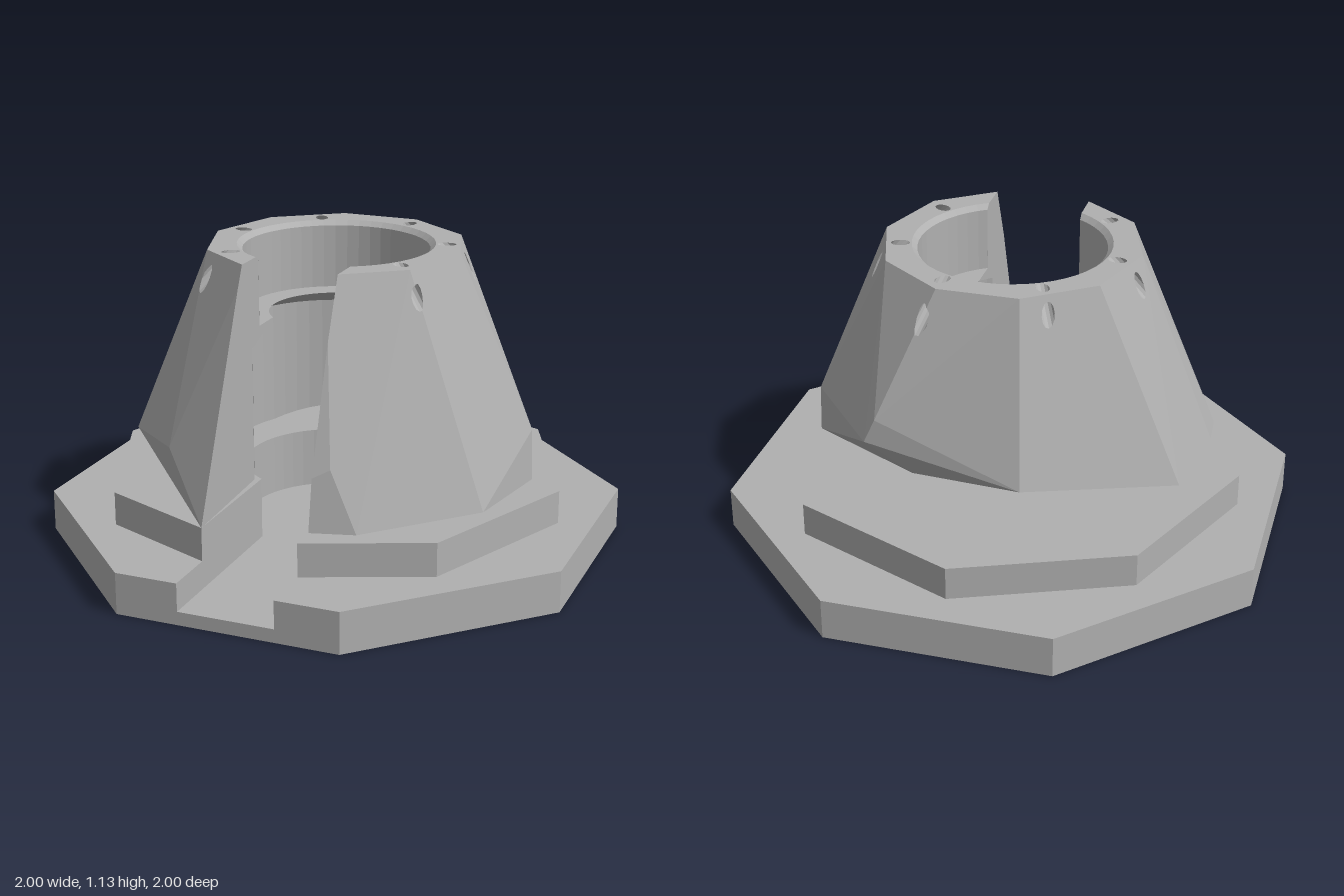
import * as THREE from 'three';
import { ConvexGeometry } from 'three/addons/geometries/ConvexGeometry.js';

const V = (x, y, z) => new THREE.Vector3(x, y, z);
const E = 1e-6, SLOT = 0.18, TOP = 1.13, SIDES = 48;

// ---- small convex polygon clipping helpers (plane normals point outward) ----
function split(poly, plane) {
  const inn = [], out = [];
  let beyond = false;
  poly.forEach((p, i) => {
    const q = poly[(i + 1) % poly.length];
    const a = plane.distanceToPoint(p), b = plane.distanceToPoint(q);
    if (a <= E) inn.push(p);
    if (a >= -E) out.push(p);
    if (a > E) beyond = true;
    if ((a > E && b < -E) || (a < -E && b > E)) {
      const m = p.clone().lerp(q, a / (a - b));
      inn.push(m);
      out.push(m);
    }
  });
  return [inn, beyond && out.length > 2 ? out : null];
}

function keepInside(polys, planes) {
  return polys.map((poly) => {
    for (const pl of planes) {
      poly = split(poly, pl)[0];
      if (poly.length < 3) break;
    }
    return poly;
  }).filter((p) => p.length > 2);
}

function subtract(polys, planes) {
  return polys.flatMap((poly) => {
    const pieces = [];
    let rest = poly;
    for (const pl of planes) {
      const [inn, out] = split(rest, pl);
      if (out) pieces.push(out);
      rest = inn;
      if (rest.length < 3) return [poly];
    }
    return pieces;
  });
}

function toGeometry(polys) {
  const pts = [];
  for (const p of polys) for (let i = 1; i < p.length - 1; i++) pts.push(p[0], p[i], p[i + 1]);
  const g = new THREE.BufferGeometry().setFromPoints(pts);
  g.computeVertexNormals();
  return g;
}

// Many-sided prism about an axis: cutting planes plus inward-facing wall polygons
function prism(origin, dir, r, n, from, to) {
  const u = Math.abs(dir.y) > 0.99 ? V(1, 0, 0) : V(0, 1, 0).cross(dir).normalize();
  const w = u.clone().cross(dir).normalize();
  const radial = (a) => u.clone().multiplyScalar(Math.cos(a)).addScaledVector(w, Math.sin(a));
  const at = (k, t) => origin.clone().addScaledVector(dir, t).addScaledVector(radial(2 * Math.PI * k / n), r);
  const planes = [], walls = [];
  for (let k = 0; k < n; k++) {
    planes.push(new THREE.Plane().setFromNormalAndCoplanarPoint(radial(2 * Math.PI * (k + 0.5) / n), at(k, 0)));
    walls.push([at(k, from), at(k + 1, from), at(k + 1, to), at(k, to)]);
  }
  for (const [t, s] of [[from, -1], [to, 1]]) {
    planes.push(new THREE.Plane().setFromNormalAndCoplanarPoint(
      dir.clone().multiplyScalar(s), origin.clone().addScaledVector(dir, t)));
  }
  return { planes, walls };
}

// ---- octagonal layers ----
function octagon(radius, start) {
  return Array.from({ length: 8 }, (_, i) => {
    const a = start + i * Math.PI / 4;
    return new THREE.Vector2(radius * Math.cos(a), radius * Math.sin(a));
  });
}

// Octagon with a slot from the front edge into a round central well
function notched(corners, frontZ, well) {
  const pts = [new THREE.Vector2(-SLOT, frontZ), ...corners, new THREE.Vector2(SLOT, frontZ)];
  const a = Math.acos(SLOT / well);
  for (let i = 0; i <= 40; i++) {
    const t = a - (Math.PI + 2 * a) * i / 40;
    pts.push(new THREE.Vector2(well * Math.cos(t), well * Math.sin(t)));
  }
  return new THREE.Shape(pts);
}

function layer(shape, bottom, top) {
  return new THREE.ExtrudeGeometry(shape, { depth: top - bottom, bevelEnabled: false, curveSegments: 24 })
    .rotateX(Math.PI / 2).translate(0, top, 0);
}

export function createModel() {
  const group = new THREE.Group();
  const grey = new THREE.MeshStandardMaterial({ color: 0xb0b0b0, side: THREE.DoubleSide });
  grey.name = 'grey';
  const add = (name, geometry) => {
    const mesh = new THREE.Mesh(geometry, grey);
    mesh.name = name;
    group.add(mesh);
  };

  // Base slab with four blind holes underneath
  const baseR = 1 / Math.cos(Math.PI / 8);
  const slab = new THREE.Shape(octagon(baseR, Math.PI * 5 / 8));
  for (const x of [-0.53, 0.53]) for (const z of [-0.53, 0.53]) {
    slab.holes.push(new THREE.Path().absarc(x, z, 0.1, 0, Math.PI * 2, true));
  }
  add('baseSlab', layer(slab, 0, 0.05));

  // Slotted base and the smaller step above it
  add('slottedBase', layer(notched(octagon(baseR, Math.PI * 5 / 8), 1, 0.345), 0.05, 0.155));
  add('upperStep', layer(notched(octagon(0.875, Math.PI * 3 / 4).slice(0, 7), 0.80, 0.345), 0.155, 0.28));

  // Faceted rock-like tower: ten-sided top, irregular foot
  const points = [
    [0.34, 0.28, 0.66], [0.68, 0.28, 0.3], [0.75, 0.28, -0.08], [0.74, 0.47, -0.09],
    [0.38, 0.57, -0.6], [0.34, 0.66, -0.595], [-0.2, 0.48, -0.64], [0.25, 0.38, -0.46],
    [-0.69, 0.35, -0.24], [-0.75, 0.38, 0.07], [-0.74, 0.38, 0.2], [-0.41, 0.47, 0.58],
    [-0.18, 0.28, 0.8], [0.24, 0.5, 0.65],
  ].map((p) => V(...p));
  for (let i = 0; i < 10; i++) {
    const a = i * Math.PI / 5;
    points.push(V(0.48 * Math.cos(a), TOP, 0.48 * Math.sin(a)));
  }
  const pos = new ConvexGeometry(points).getAttribute('position');
  let shell = [];
  for (let i = 0; i < pos.count; i += 3) {
    shell.push([0, 1, 2].map((k) => new THREE.Vector3().fromBufferAttribute(pos, i + k)));
  }
  const hull = shell.map((t) => new THREE.Plane().setFromCoplanarPoints(...t));
  const slot = [
    new THREE.Plane(V(1, 0, 0), -SLOT), new THREE.Plane(V(-1, 0, 0), -SLOT), new THREE.Plane(V(0, 0, -1), 0),
  ];
  const up = V(0, 1, 0), zero = V(0, 0, 0);
  shell = subtract(shell, slot);
  shell = subtract(shell, prism(zero, up, 0.365, SIDES, 1.1, 1.3).planes);
  shell = subtract(shell, prism(zero, up, 0.4, SIDES, 0, 0.8).planes);

  // Slanted screw holes from the top rim out through the side
  let holes = [];
  for (let i = 0; i < 7; i++) {
    if (i === 5) continue; // falls in the slot
    const a = -Math.PI * 120 / 126 + i * Math.PI * 2 / 7;
    const c = Math.cos(a), s = Math.sin(a);
    const hole = prism(V(0.405 * c, TOP, 0.405 * s), V(c, -0.95, s).normalize(), 0.024, 12, -0.06, 0.25);
    shell = subtract(shell, hole.planes);
    holes = holes.concat(keepInside(hole.walls, hull));
  }
  add('towerShell', toGeometry(shell));
  add('screwHoles', toGeometry(holes));

  // Bore: chamfer, cup, ledge, undercut and lower chamber
  const profile = [[0.365, TOP], [0.345, 1.112], [0.345, 0.87], [0.25, 0.87], [0.4, 0.8], [0.4, 0.2]];
  const bore = [], walls = [];
  for (let j = 0; j < profile.length - 1; j++) {
    const [r0, y0] = profile[j], [r1, y1] = profile[j + 1];
    const at = (r, y, k) => V(r * Math.cos(2 * Math.PI * k / SIDES), y, r * Math.sin(2 * Math.PI * k / SIDES));
    for (let k = 0; k < SIDES; k++) bore.push([at(r0, y0, k), at(r0, y0, k + 1), at(r1, y1, k + 1), at(r1, y1, k)]);
    // Slot cheeks follow the bore profile inside and the tower facets outside
    if (y0 > y1) for (const x of [-SLOT, SLOT]) {
      const z0 = Math.sqrt(r0 * r0 - SLOT * SLOT), z1 = Math.sqrt(r1 * r1 - SLOT * SLOT);
      const quad = [V(x, y0, z0), V(x, y1, z1), V(x, y1, 1), V(x, y0, 1)];
      walls.push(x < 0 ? quad.reverse() : quad);
    }
  }
  walls.forEach((q) => q.reverse());
  add('bore', toGeometry(keepInside(subtract(bore, slot), hull)));
  add('slotCheeks', toGeometry(keepInside(walls, hull)));

  return group;
}
